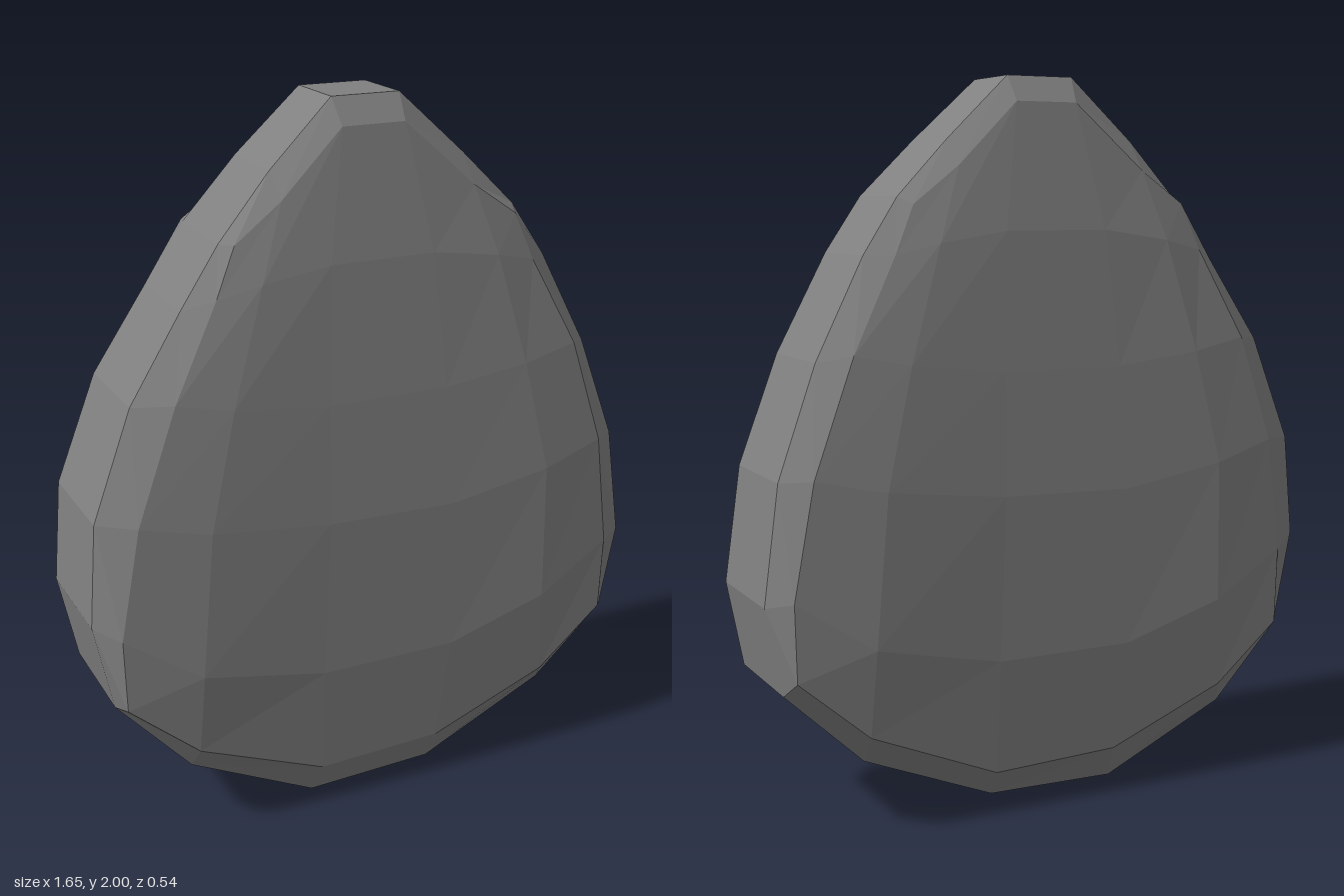
import * as THREE from 'three';

// Half of the face: six rows from bottom to top, six [x, y, z] points per row.
const FACE = [
  [[-.765, .45, .235], [-.57, .28, .245], [-.2, .12, .238], [.17, .13, .238], [.52, .27, .245], [.725, .43, .235]],
  [[-.77, .66, .238], [-.56, .52, .272], [-.2, .44, .262], [.2, .44, .262], [.5, .53, .267], [.73, .65, .238]],
  [[-.71, .97, .235], [-.52, .93, .263], [-.18, .89, .26], [.2, .88, .26], [.5, .93, .26], [.69, .98, .235]],
  [[-.59, 1.28, .215], [-.44, 1.25, .238], [-.17, 1.22, .238], [.18, 1.22, .238], [.43, 1.25, .238], [.6, 1.28, .215]],
  [[-.46, 1.53, .185], [-.34, 1.56, .203], [-.15, 1.59, .205], [.15, 1.59, .205], [.35, 1.56, .203], [.47, 1.53, .185]],
  [[-.4, 1.66, .165], [-.27, 1.76, .165], [-.09, 1.93, .146], [.09, 1.93, .146], [.29, 1.75, .165], [.42, 1.66, .165]],
];

// Rim corners, counter-clockwise from the lower left, with half depth.
const RIM = [
  [-.78, .43, .165], [-.57, .19, .165], [-.2, 0, .16], [.18, .01, .16], [.56, .19, .165],
  [.78, .4, .165], [.825, .64, .165], [.78, .96, .16], [.67, 1.26, .15], [.53, 1.53, .137],
  [.43, 1.68, .13], [.28, 1.83, .115], [.095, 2, .1], [-.1, 2, .1], [-.28, 1.83, .115],
  [-.43, 1.66, .13], [-.54, 1.5, .137], [-.69, 1.27, .15], [-.805, .97, .16], [-.83, .68, .165],
];

// Border of a face grid in the same order as RIM.
function border(grid) {
  const n = grid.length - 1, ring = [];
  for (let i = 0; i < n; i++) ring.push(grid[0][i]);
  for (let i = 0; i < n; i++) ring.push(grid[i][n]);
  for (let i = n; i > 0; i--) ring.push(grid[n][i]);
  for (let i = n; i > 0; i--) ring.push(grid[i][0]);
  return ring;
}

// Turns a list of counter-clockwise quads into a mesh.
function quadMesh(name, quads, material) {
  const positions = [];
  for (const [a, b, c, d] of quads) positions.push(...a, ...b, ...c, ...a, ...c, ...d);
  const geometry = new THREE.BufferGeometry();
  geometry.setAttribute('position', new THREE.Float32BufferAttribute(positions, 3));
  geometry.computeVertexNormals();
  const mesh = new THREE.Mesh(geometry, material);
  mesh.name = name;
  return mesh;
}

const gridQuads = (g) => g.slice(1).flatMap((row, r) =>
  row.slice(1).map((p, c) => [g[r][c], g[r][c + 1], p, row[c]]));

const stripQuads = (outer, inner) => outer.map((p, i) => {
  const j = (i + 1) % outer.length;
  return [p, outer[j], inner[j], inner[i]];
});

const flip = (quads) => quads.map((q) => [...q].reverse());

export function createModel() {
  const group = new THREE.Group();
  group.name = 'stone';
  const stone = new THREE.MeshStandardMaterial({ color: 0x808080 });
  stone.name = 'grey stone';
  stone.flatShading = true;

  // The back face is the front turned half round, for a slightly uneven stone.
  const backFace = FACE.map((row) => row.map(([x, y, z]) => [-x, y, -z]).reverse());
  const backRim = RIM.map(([x, y, z]) => [x, y < .1 ? y + .02 : y, -z]);

  group.add(
    quadMesh('frontFace', gridQuads(FACE), stone),
    quadMesh('frontBevel', stripQuads(RIM, border(FACE)), stone),
    quadMesh('sideBand', stripQuads(backRim, RIM), stone),
    quadMesh('backBevel', flip(stripQuads(backRim, border(backFace))), stone),
    quadMesh('backFace', flip(gridQuads(backFace)), stone),
  );
  return group;
}
